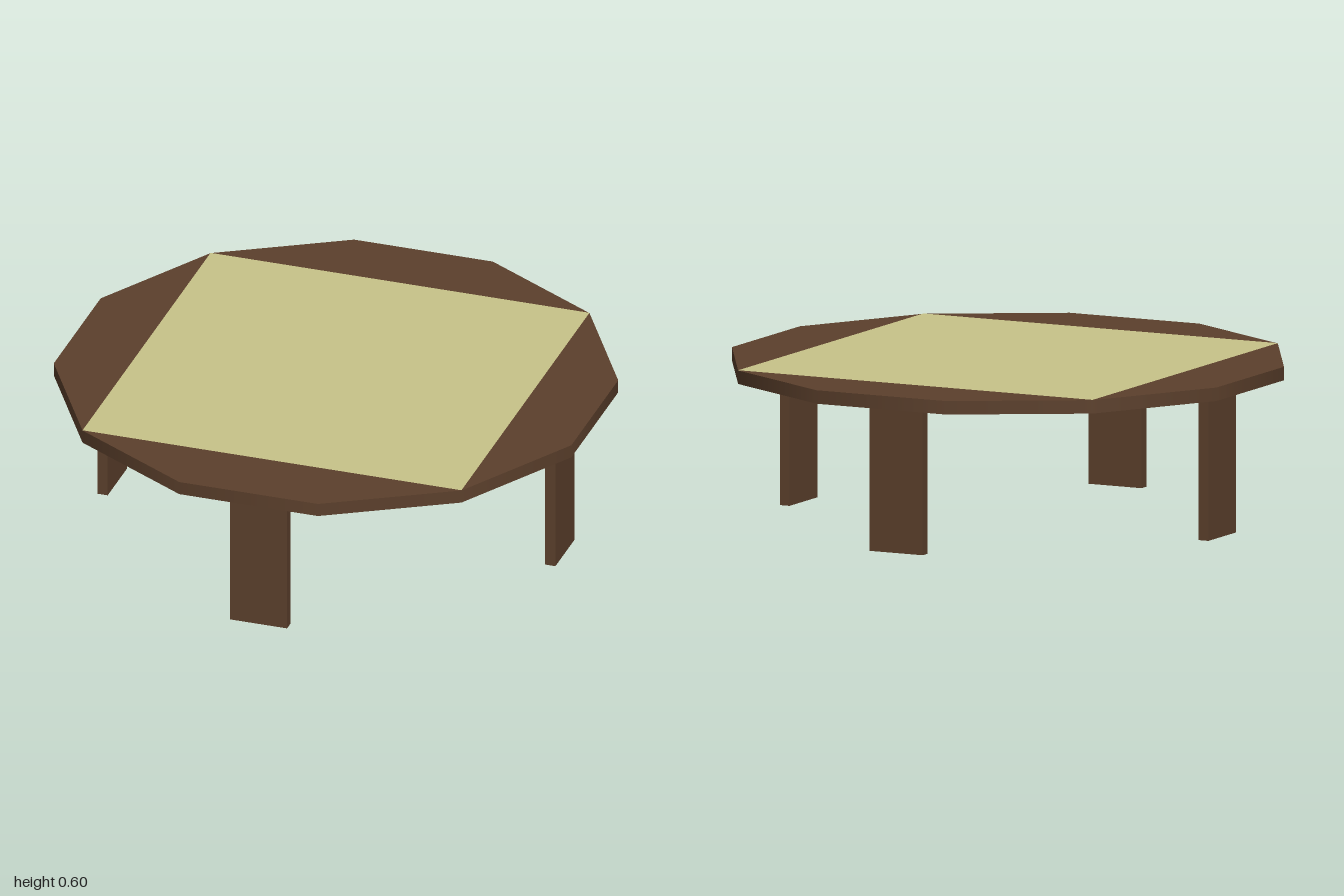
import * as THREE from 'three';

export function createModel() {
  const table = new THREE.Group();
  table.name = 'table';

  const wood = new THREE.MeshStandardMaterial({ color: 0x5c402c });
  wood.name = 'brown wood';
  const cream = new THREE.MeshStandardMaterial({ color: 0xc9c48a });
  cream.name = 'pale cream';

  const add = (name, geometry, material, x, y, z) => {
    const mesh = new THREE.Mesh(geometry, material);
    mesh.name = name;
    mesh.position.set(x, y, z);
    table.add(mesh);
    return mesh;
  };

  const height = 0.6, thickness = 0.05;
  const radius = 1 / Math.cos(Math.PI / 12); // flat edges lie at distance 1

  // Twelve-sided top with a smooth-shaded rim
  const top = new THREE.CylinderGeometry(radius, radius, thickness, 12, 1, false, Math.PI / 12);
  add('tabletop', top, wood, 0, height - thickness / 2, 0);

  // Square inlay reaching four corners of the top
  const side = radius * Math.SQRT2;
  const inlay = new THREE.PlaneGeometry(side, side).rotateX(-Math.PI / 2);
  add('squareInlay', inlay, cream, 0, height + 0.001, 0);

  // Four slab legs, one under the middle of each side
  const legHeight = height - thickness;
  const leg = new THREE.BoxGeometry(0.22, legHeight, 0.04);
  ['frontLeg', 'leftLeg', 'backLeg', 'rightLeg'].forEach((name, i) => {
    const angle = i * Math.PI / 2;
    const mesh = add(name, leg, wood, Math.sin(angle) * 0.865, legHeight / 2, Math.cos(angle) * 0.865);
    mesh.rotation.y = angle;
  });

  return table;
}
